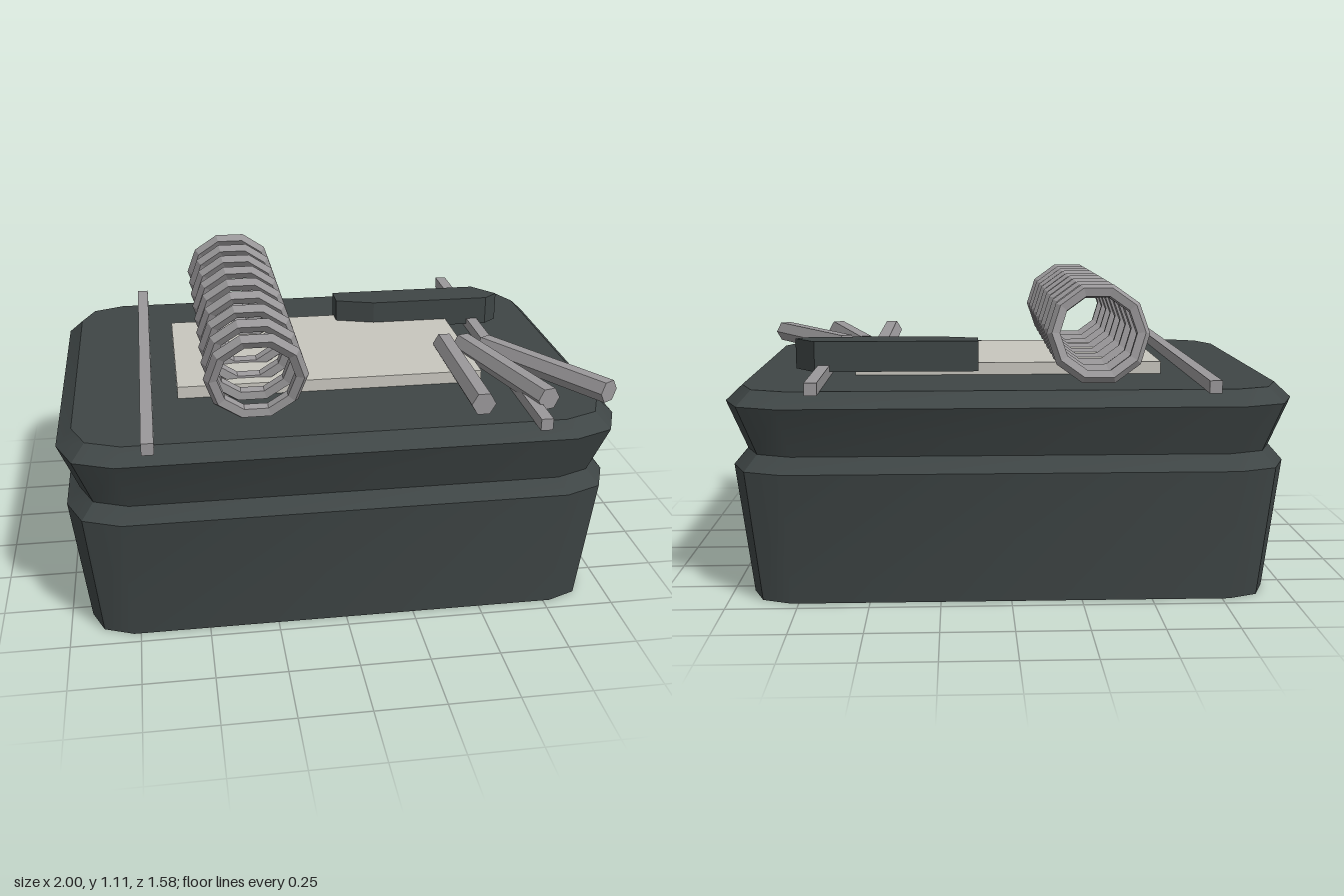
import * as THREE from 'three';
import { toCreasedNormals } from 'three/addons/utils/BufferGeometryUtils.js';

const material = (name, color) => {
  const m = new THREE.MeshStandardMaterial({ color });
  m.name = name;
  return m;
};

// Rounded rectangle outline, two segments per corner
function outline(hx, hz, r) {
  const points = [];
  [[1, 1], [-1, 1], [-1, -1], [1, -1]].forEach(([sx, sz], corner) => {
    for (let i = 0; i <= 2; i++) {
      const a = corner * Math.PI / 2 + i * Math.PI / 4;
      points.push([sx * (hx - r) + r * Math.cos(a), sz * (hz - r) + r * Math.sin(a)]);
    }
  });
  return points;
}

// Closed loft through sections of [y, halfX, halfZ, cornerRadius]
function loft(sections) {
  const positions = [], index = [];
  const rings = sections.map(([y, hx, hz, r]) => outline(hx, hz, r).map(([x, z]) => [x, y, z]));
  const n = rings[0].length;
  rings.forEach(ring => ring.forEach(p => positions.push(...p)));
  for (let s = 0; s < rings.length - 1; s++) {
    for (let i = 0; i < n; i++) {
      const a = s * n + i, b = s * n + (i + 1) % n;
      index.push(a, a + n, b, b, a + n, b + n);
    }
  }
  const top = (rings.length - 1) * n;
  for (let i = 1; i < n - 1; i++) {
    index.push(0, i, i + 1);
    index.push(top, top + i + 1, top + i);
  }
  const g = new THREE.BufferGeometry();
  g.setAttribute('position', new THREE.Float32BufferAttribute(positions, 3));
  g.setIndex(index);
  return toCreasedNormals(g, 0.5);
}

export function createModel() {
  const model = new THREE.Group();
  model.name = 'fieldKit';
  const dark = material('dark slate', 0x3f4646);
  const steel = material('grey steel', 0x9a989a);
  const paper = material('pale paper', 0xc8c6be);

  const add = (name, geometry, mat, x = 0, y = 0, z = 0) => {
    const mesh = new THREE.Mesh(geometry, mat);
    mesh.name = name;
    mesh.position.set(x, y, z);
    model.add(mesh);
    return mesh;
  };

  // Tapered case with a groove below the flared lid
  add('case', loft([
    [0, 0.925, 0.70, 0.15],
    [0.475, 0.98, 0.753, 0.19],
    [0.53, 0.932, 0.715, 0.17],
    [0.705, 1.0, 0.77, 0.2],
    [0.757, 0.945, 0.715, 0.17],
  ]), dark);

  // Pale sheet on the lid
  add('sheet', new THREE.BoxGeometry(1.135, 0.05, 0.685), paper, -0.003, 0.777, -0.002);

  // Two long square rails
  for (const x of [-0.685, 0.677]) {
    add('rail', new THREE.BoxGeometry(0.043, 0.043, 1.58), steel, x, 0.777, 0);
  }

  // Row of leaning rings
  const ringGeometry = toCreasedNormals(new THREE.TorusGeometry(0.156, 0.026, 5, 10), 0.1);
  for (let i = 0; i < 9; i++) {
    const ring = add('ring', ringGeometry, steel, -0.305, 0.938, -0.605 + i * 0.151);
    ring.rotation.x = 0.24;
  }

  // Fan of hexagonal sticks
  const stickGeometry = toCreasedNormals(
    new THREE.CylinderGeometry(0.044, 0.044, 0.6, 6).rotateY(Math.PI / 6).rotateX(Math.PI / 2), 0.5);
  for (let i = 0; i < 3; i++) {
    const stick = add('stick', stickGeometry, steel, 0.484 + i * 0.156, 0.814, 0.372);
    stick.rotation.y = i * 0.28;
  }

  // Angular handle lying near the back
  const handle = new THREE.Shape([
    [0.11, 0.382], [0.11, 0.28], [0.26, 0.233], [0.735, 0.233], [0.79, 0.28], [0.71, 0.382],
  ].map(([x, y]) => new THREE.Vector2(x, y)));
  const handleGeometry = new THREE.ExtrudeGeometry(handle, { depth: 0.112, bevelEnabled: false });
  add('handle', handleGeometry.rotateX(-Math.PI / 2), dark, 0, 0.775, 0);

  return model;
}
